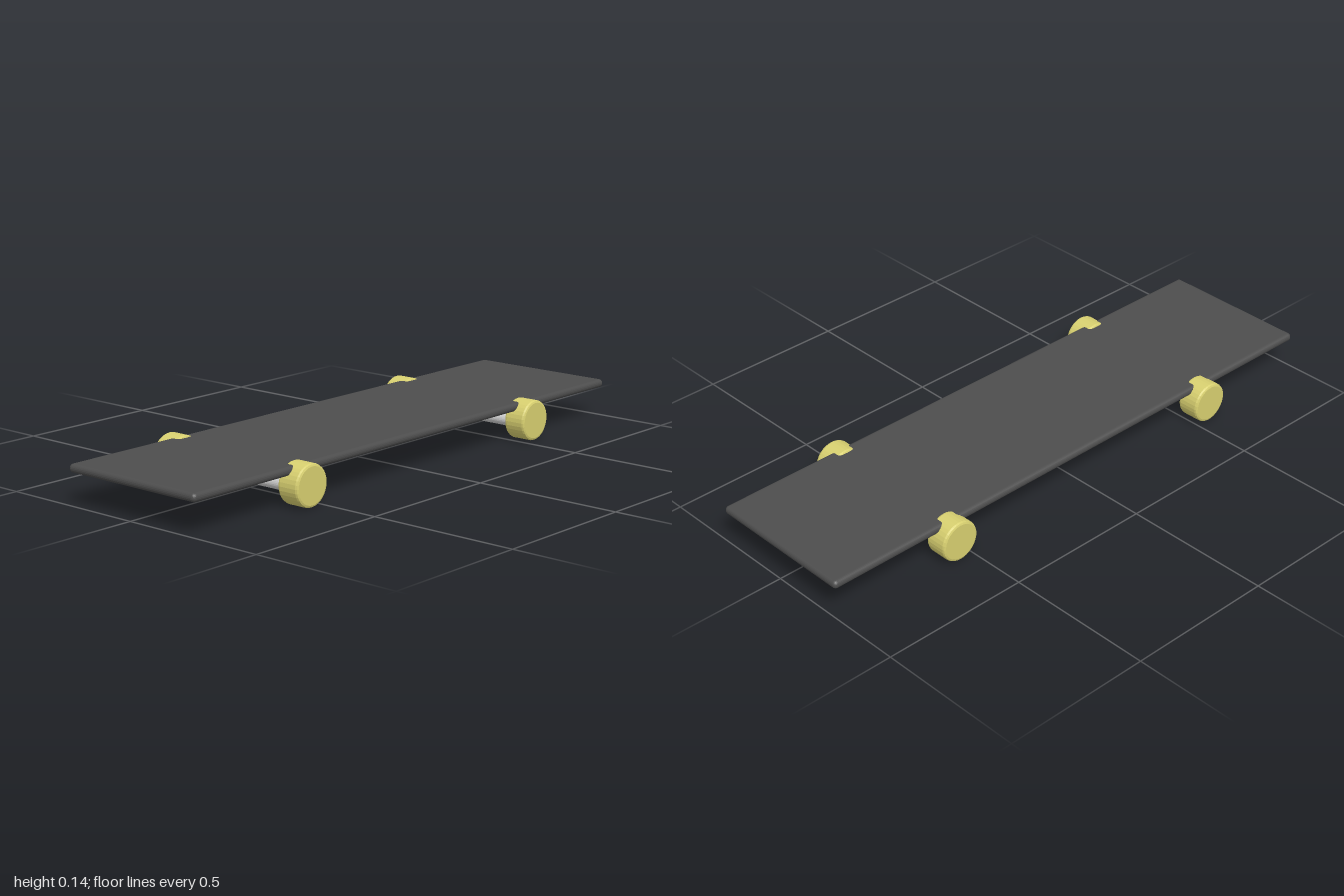
import * as THREE from 'three';
import { RoundedBoxGeometry } from 'three/addons/geometries/RoundedBoxGeometry.js';

const material = (name, color) => {
  const m = new THREE.MeshStandardMaterial({ color });
  m.name = name;
  m.flatShading = true;
  return m;
};

export function createModel() {
  const group = new THREE.Group();
  group.name = 'skateboard';
  const grip = material('dark grip', 0x4d4d4d);
  const metal = material('light metal', 0xcccccc);
  const rubber = material('yellow wheel', 0xd8d070);

  const add = (parent, name, geometry, mat, x, y, z) => {
    const mesh = new THREE.Mesh(geometry, mat);
    mesh.name = name;
    mesh.position.set(x, y, z);
    parent.add(mesh);
    return mesh;
  };

  // Flat deck with rounded edges
  add(group, 'deck', new RoundedBoxGeometry(0.524, 0.028, 2, 3, 0.0135), grip, 0, 0.114, 0);

  // Wheel: solid drum with a small bevel on both rims, axis turned to x
  const R = 0.0675, H = 0.039, B = 0.008;
  const profile = [
    [0, -H], [R - B, -H], [R - B * 0.3, -H + B * 0.3], [R, -H + B],
    [R, H - B], [R - B * 0.3, H - B * 0.3], [R - B, H], [0, H],
  ].map(([r, y]) => new THREE.Vector2(r, y));
  const wheelGeometry = new THREE.LatheGeometry(profile, 32).rotateZ(Math.PI / 2);
  const axleGeometry = new THREE.CylinderGeometry(0.0195, 0.0195, 0.48, 24).rotateZ(Math.PI / 2);
  const plateGeometry = new THREE.BoxGeometry(0.174, 0.023, 0.17);

  // Front and rear trucks
  for (const [name, z] of [['frontTruck', 0.55], ['rearTruck', -0.55]]) {
    const truck = new THREE.Group();
    truck.name = name;
    truck.position.z = z;
    add(truck, 'mountingPlate', plateGeometry, metal, 0, 0.082, 0);
    add(truck, 'axle', axleGeometry, metal, 0, 0.0525, 0);
    add(truck, 'leftWheel', wheelGeometry, rubber, 0.263, R, 0);
    add(truck, 'rightWheel', wheelGeometry, rubber, -0.263, R, 0);
    group.add(truck);
  }
  return group;
}
